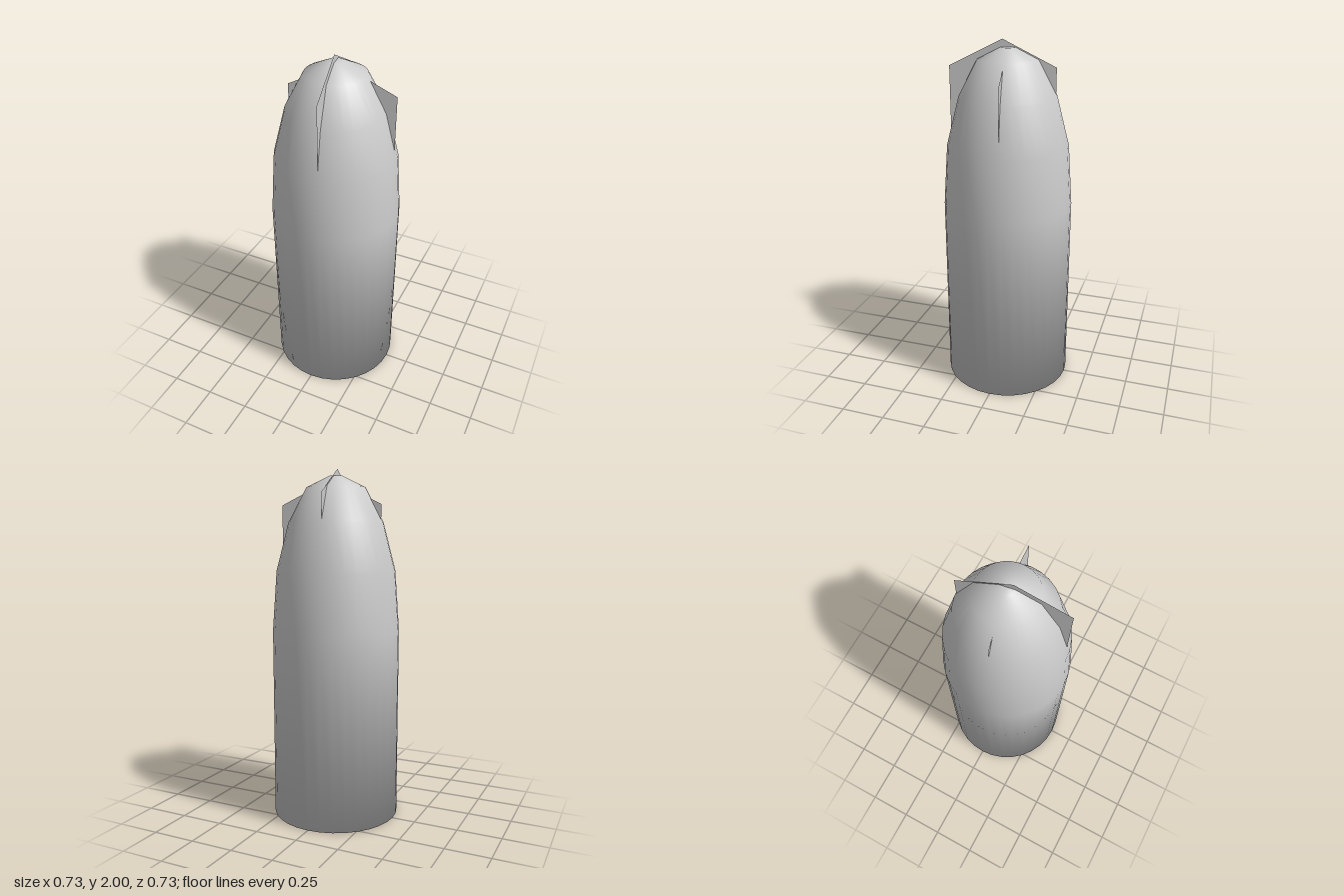
import * as THREE from 'three';

const grey = new THREE.MeshStandardMaterial({ color: 0xcccccc });
grey.name = 'plain grey';
const greyThin = grey;
greyThin.side = THREE.DoubleSide;

const SIDES = 32;
const RADIUS = 0.365;

// Rounded shell: straight wall, then a tapering nose with a tiny flat tip
function makeShell() {
  const profile = [
    [RADIUS, 0], [RADIUS, 1.09], [0.34, 1.43], [0.27, 1.7],
    [0.167, 1.894], [0.04, 1.957], [0, 1.957],
  ].map(([r, y]) => new THREE.Vector2(r, y));
  const geo = new THREE.LatheGeometry(profile, SIDES);
  softenRim(geo);
  return new THREE.Mesh(geo, grey);
}

// Base disc, shaded smoothly into the wall
function makeBase() {
  const geo = new THREE.CircleGeometry(RADIUS, SIDES);
  geo.rotateX(Math.PI / 2);
  softenRim(geo);
  return new THREE.Mesh(geo, grey);
}

// Tilt the normals of the bottom rim halfway between wall and base
function softenRim(geo) {
  const p = geo.attributes.position, n = geo.attributes.normal;
  const v = new THREE.Vector3();
  for (let i = 0; i < p.count; i++) {
    const r = Math.hypot(p.getX(i), p.getZ(i));
    if (p.getY(i) > 0.001 || r < 0.1) continue;
    v.set(p.getX(i) / r, -1, p.getZ(i) / r).normalize();
    n.setXYZ(i, v.x, v.y, v.z);
  }
}

// Thin upright blade with a pointed top, crossing the nose
function makeFin(peak, shoulder) {
  const half = 0.293, bottom = 1.45;
  const outline = new THREE.Shape([
    new THREE.Vector2(-half, bottom), new THREE.Vector2(half, bottom),
    new THREE.Vector2(half, shoulder), new THREE.Vector2(0, peak),
    new THREE.Vector2(-half, shoulder),
  ]);
  return new THREE.Mesh(new THREE.ShapeGeometry(outline), greyThin);
}

export function createModel() {
  const model = new THREE.Group();
  model.name = 'roundedShell';

  const shell = makeShell();
  shell.name = 'shell';
  const base = makeBase();
  base.name = 'base';

  // Two crossed fins, turned slightly about the upright axis
  const turn = 0.155;
  const sideFin = makeFin(1.94, 1.8);
  sideFin.name = 'sideFin';
  sideFin.position.set(0.03, 0, -0.005);
  sideFin.rotation.y = turn;

  const lengthFin = makeFin(2.0, 1.855);
  lengthFin.name = 'lengthFin';
  lengthFin.position.set(0.005, 0, 0.03);
  lengthFin.rotation.y = turn + Math.PI / 2;

  model.add(shell, base, sideFin, lengthFin);
  return model;
}
